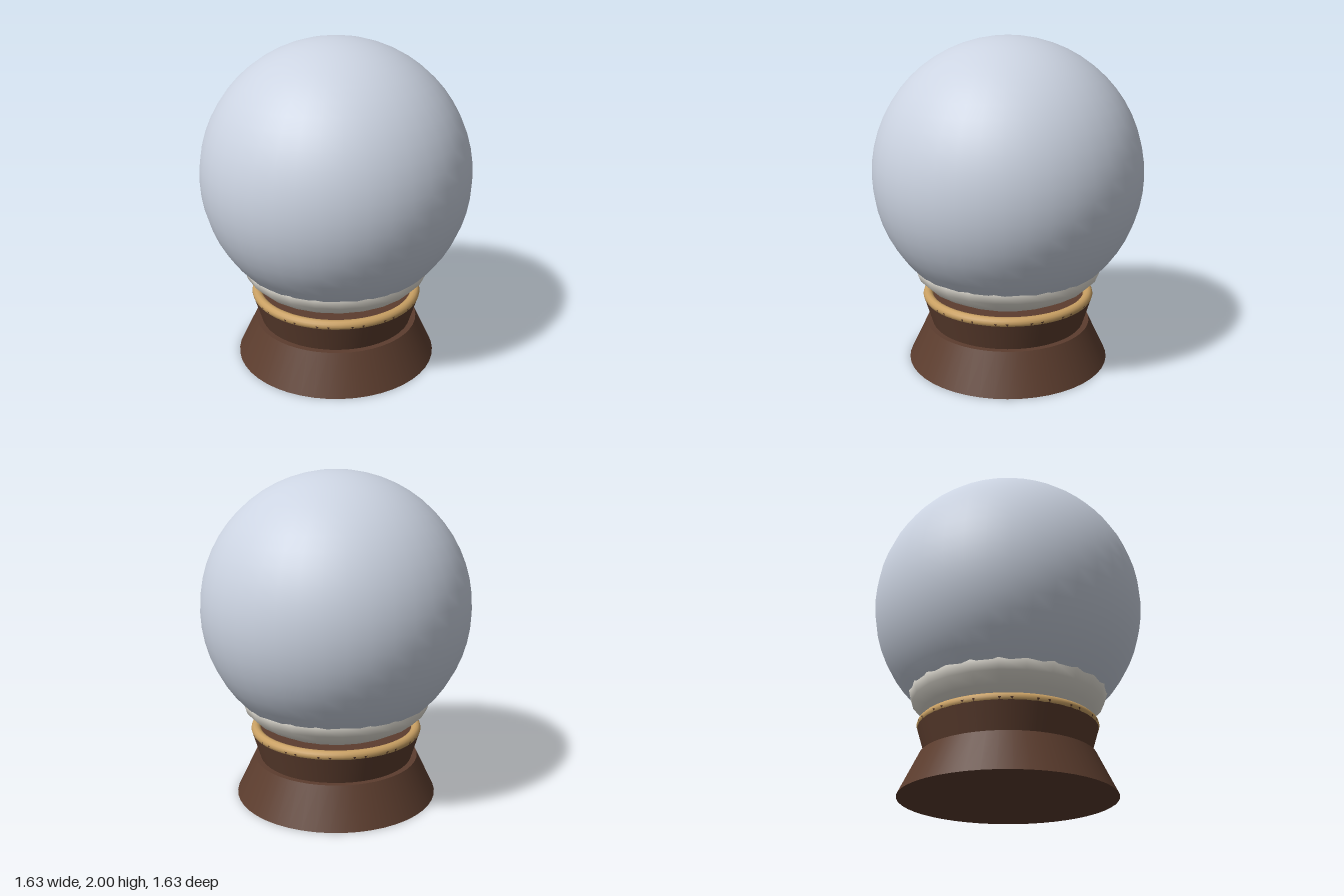
import * as THREE from 'three';

const material = (name, color) => {
  const m = new THREE.MeshStandardMaterial({ color });
  m.name = name;
  return m;
};

export function createModel() {
  const group = new THREE.Group();
  const wood = material('brown wood', 0x5c3d2e);
  const gold = material('gold', 0xc9a063);
  const snow = material('snow white', 0xebe7dd);
  const glass = material('pale blue glass', 0xccd4e2);

  const add = (name, geometry, mat, y) => {
    const mesh = new THREE.Mesh(geometry, mat);
    mesh.name = name;
    mesh.position.y = y;
    group.add(mesh);
    return mesh;
  };

  // Flared foot and the collar that holds the globe
  add('baseFoot', new THREE.CylinderGeometry(0.51, 0.625, 0.24, 48), wood, 0.12);
  add('baseCollar', new THREE.CylinderGeometry(0.53, 0.475, 0.18, 48), wood, 0.33);

  // Trim ring around the collar's rim
  const ring = add('trimRing', new THREE.TorusGeometry(0.5, 0.03, 12, 64), gold, 0.42);
  ring.rotation.x = Math.PI / 2;

  // Flattened snow mound bulging out under the globe
  const mound = add('snowMound', new THREE.SphereGeometry(0.585, 24, 12), snow, 0.62);
  mound.scale.y = 0.24 / 0.585;

  // Glass globe
  add('globe', new THREE.SphereGeometry(0.815, 40, 28), glass, 1.185);

  return group;
}
